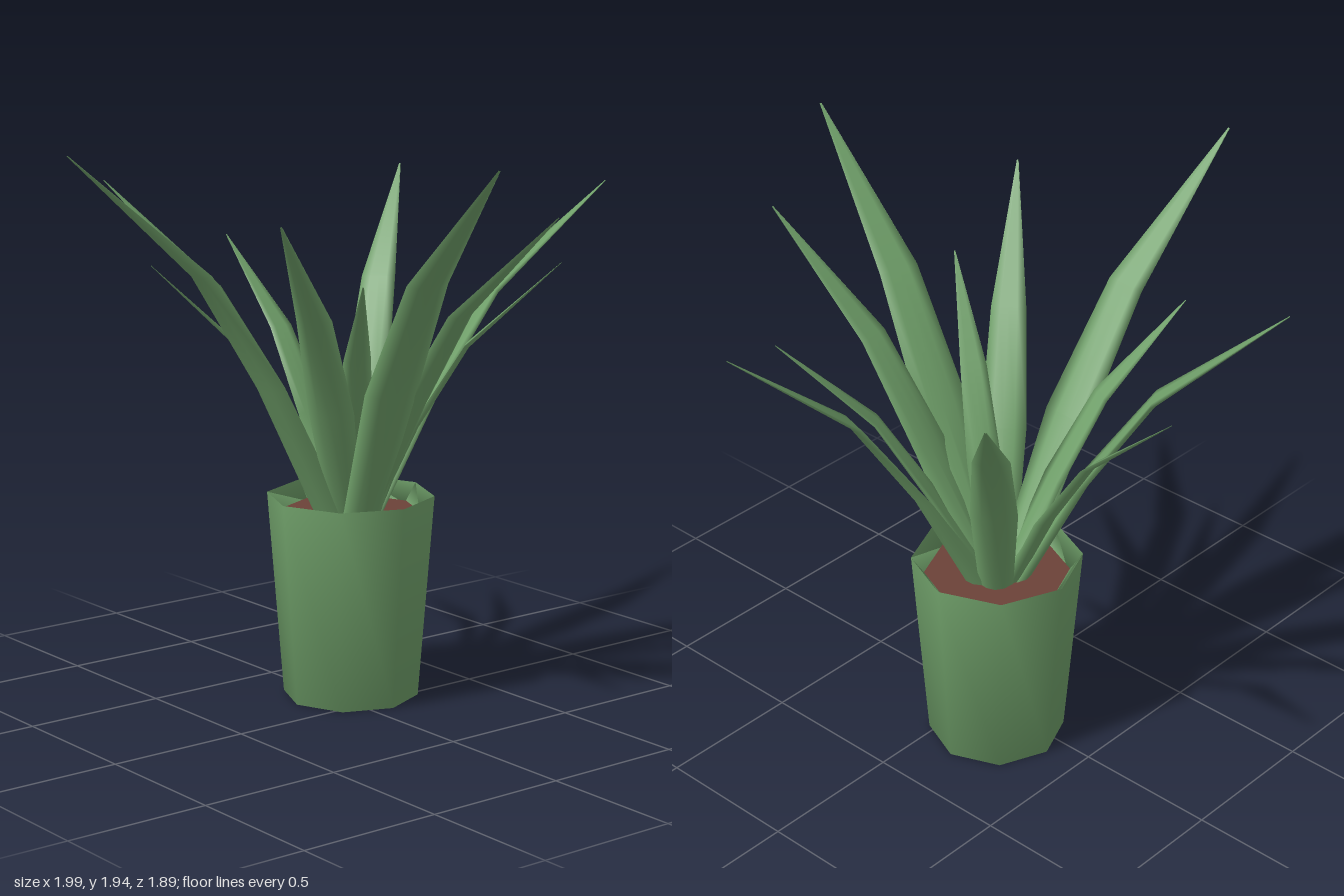
import * as THREE from 'three';

const POT_X = 0.075, POT_Z = -0.14, SOIL_Y = 0.65, BASE_Y = 0.6;

// Leaf stations: [outward share, height share, half width, outer bulge, inner bulge]
const SECTIONS = [
  [0.06, 0.0, 0.055, 0.035, 0.05],
  [0.30, 0.39, 0.078, 0.03, 0.0],
  [0.55, 0.69, 0.06, 0.02, 0.0],
  [1.0, 1.0, 0.003, 0.002, 0.0],
];
const HALF = 4, RING = HALF * 2;

// Thick fleshy leaf growing from the pot centre to a tip
function leafGeometry(tipX, tipY, tipZ) {
  const dx = tipX - POT_X, dz = tipZ - POT_Z;
  const reach = Math.hypot(dx, dz), rise = tipY - BASE_Y;
  const out = new THREE.Vector3(dx / reach, 0, dz / reach);
  const side = new THREE.Vector3(out.z, 0, -out.x);
  const size = Math.pow(rise / 1.15, 1.3);
  const positions = [], index = [];
  SECTIONS.forEach(([r, h, halfWidth, outer, inner], i) => {
    const prev = SECTIONS[Math.max(i - 1, 0)], next = SECTIONS[Math.min(i + 1, 3)];
    const along = new THREE.Vector2((next[0] - prev[0]) * reach, (next[1] - prev[1]) * rise).normalize();
    for (let j = 0; j < RING; j++) {
      // the ring runs over the outer face, then back over the inner face
      const s = j <= HALF ? (j / HALF) * 2 - 1 : 3 - (j / HALF) * 2;
      const lift = (j <= HALF ? -outer : inner) * size * (1 - s * s);
      const p = out.clone().multiplyScalar(r * reach - along.y * lift)
        .addScaledVector(side, s * halfWidth * size);
      positions.push(POT_X + p.x, BASE_Y + h * rise + along.x * lift, POT_Z + p.z);
      if (i < 3) {
        const a = i * RING + j, b = i * RING + (j + 1) % RING;
        index.push(a, b, a + RING, b, b + RING, a + RING);
      }
    }
  });
  const geometry = new THREE.BufferGeometry();
  geometry.setAttribute('position', new THREE.Float32BufferAttribute(positions, 3));
  geometry.setIndex(index);
  geometry.computeVertexNormals();
  return geometry;
}

export function createModel() {
  const model = new THREE.Group();
  model.name = 'pottedPlant';
  const green = new THREE.MeshStandardMaterial({ color: 0x6f9f69 });
  const brown = new THREE.MeshStandardMaterial({ color: 0x6b4238 });

  // Eight-sided tapered pot, its wall folding in at the rim
  const profile = [[0, 0], [0.235, 0], [0.29, 0.71], [0.24, 0.64]]
    .map(([x, y]) => new THREE.Vector2(x, y));
  const pot = new THREE.Mesh(new THREE.LatheGeometry(profile, 8), green);
  pot.name = 'pot';
  pot.position.set(POT_X, 0, POT_Z);
  model.add(pot);

  // Soil disc
  const soil = new THREE.Mesh(new THREE.CircleGeometry(0.247, 8), brown);
  soil.name = 'soil';
  soil.rotation.x = -Math.PI / 2;
  soil.position.set(POT_X, SOIL_Y, POT_Z);
  model.add(soil);

  // Leaves, by tip position: two tall, five middle, four short
  const tips = [
    [-0.21, 1.94, 0.94], [-1.0, 1.94, -0.21],
    [-0.38, 1.75, -0.95], [0.765, 1.75, -0.72], [0.99, 1.75, 0.135],
    [0.185, 1.75, 0.775], [-0.63, 1.75, 0.41],
    [0.085, 1.53, -0.87], [0.565, 1.53, 0.38], [-0.3, 1.53, 0.4], [-0.56, 1.53, -0.4],
  ];
  const leaves = new THREE.Group();
  leaves.name = 'leaves';
  tips.forEach((tip, i) => {
    const leaf = new THREE.Mesh(leafGeometry(...tip), green);
    leaf.name = `leaf${i + 1}`;
    leaves.add(leaf);
  });
  model.add(leaves);
  return model;
}
